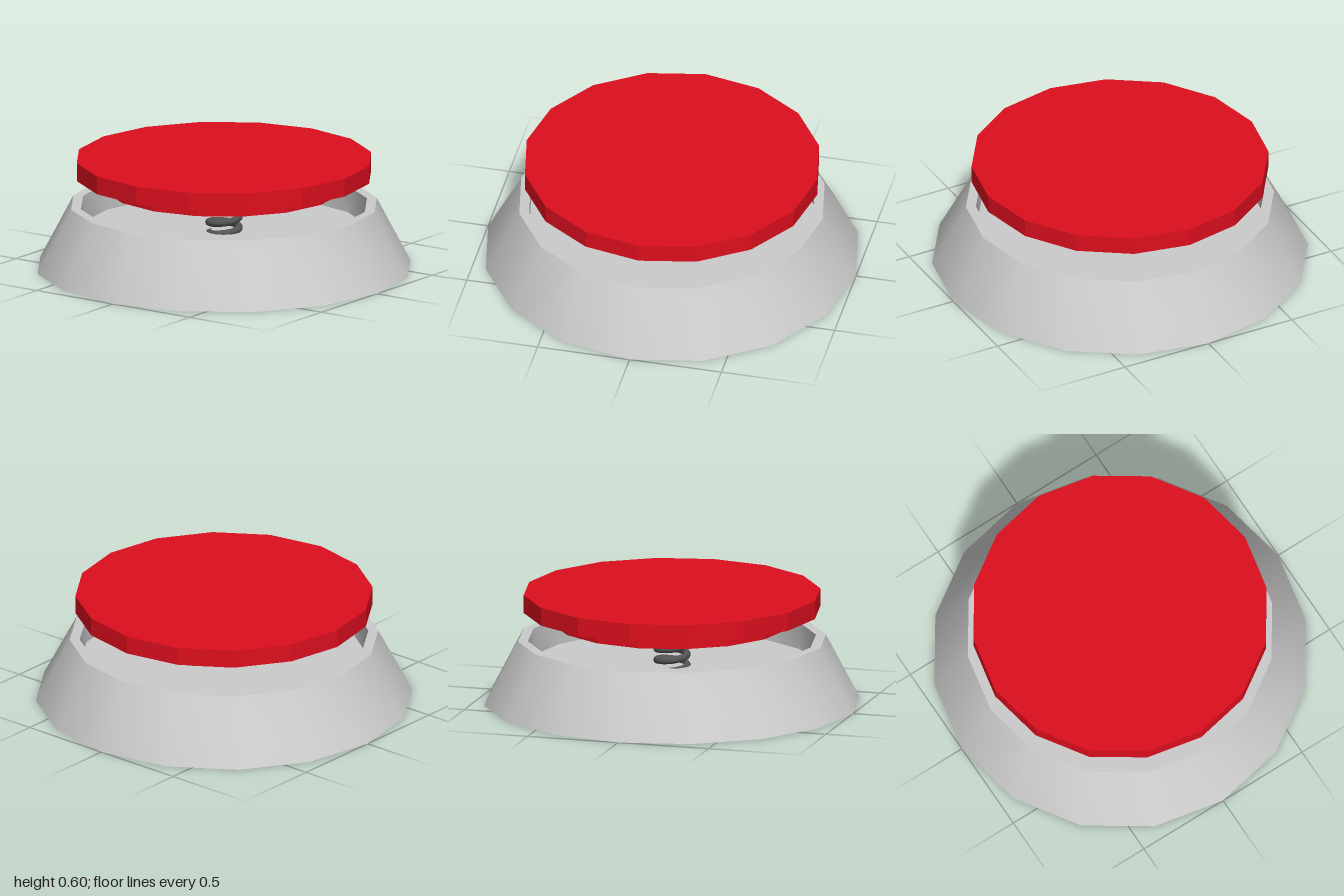
import * as THREE from 'three';
import { toCreasedNormals } from 'three/addons/utils/BufferGeometryUtils.js';

const SIDES = 16;

function lathe(name, profile, material, crease) {
  const points = profile.map(([r, y]) => new THREE.Vector2(r, y));
  const geometry = toCreasedNormals(new THREE.LatheGeometry(points, SIDES), crease);
  const mesh = new THREE.Mesh(geometry, material);
  mesh.name = name;
  return mesh;
}

// Helix rising anticlockwise around the y axis
class Helix extends THREE.Curve {
  constructor(radius, bottom, pitch, turns) {
    super();
    Object.assign(this, { radius, bottom, pitch, turns });
  }
  getPoint(t, target = new THREE.Vector3()) {
    const a = t * this.turns * Math.PI * 2;
    return target.set(
      -Math.cos(a) * this.radius,
      this.bottom + t * this.turns * this.pitch,
      Math.sin(a) * this.radius
    );
  }
}

export function createModel() {
  const model = new THREE.Group();
  model.name = 'pushButton';

  const grey = new THREE.MeshStandardMaterial({ color: 0xcccccc });
  const red = new THREE.MeshStandardMaterial({ color: 0xdd0f1e });
  const steel = new THREE.MeshStandardMaterial({ color: 0x555555 });

  // Tapered housing with a narrow rim and a recessed floor
  const base = lathe('base', [
    [0, 0], [1, 0], [0.82, 0.345], [0.767, 0.345], [0.767, 0.2], [0, 0.2],
  ], grey, 0.7);

  // Stepped red cap: narrow plunger below a wide press plate
  const cap = lathe('cap', [
    [0, 0.43], [0.63, 0.43], [0.63, 0.5], [0.79, 0.5], [0.79, 0.597], [0, 0.597],
  ], red, 0.1);

  // Coil spring between the recess floor and the cap
  const coil = new Helix(0.08, 0.18, 0.06, 4.25);
  const spring = new THREE.Mesh(new THREE.TubeGeometry(coil, 100, 0.02, 8), steel);
  spring.name = 'spring';

  model.add(base, cap, spring);
  return model;
}
